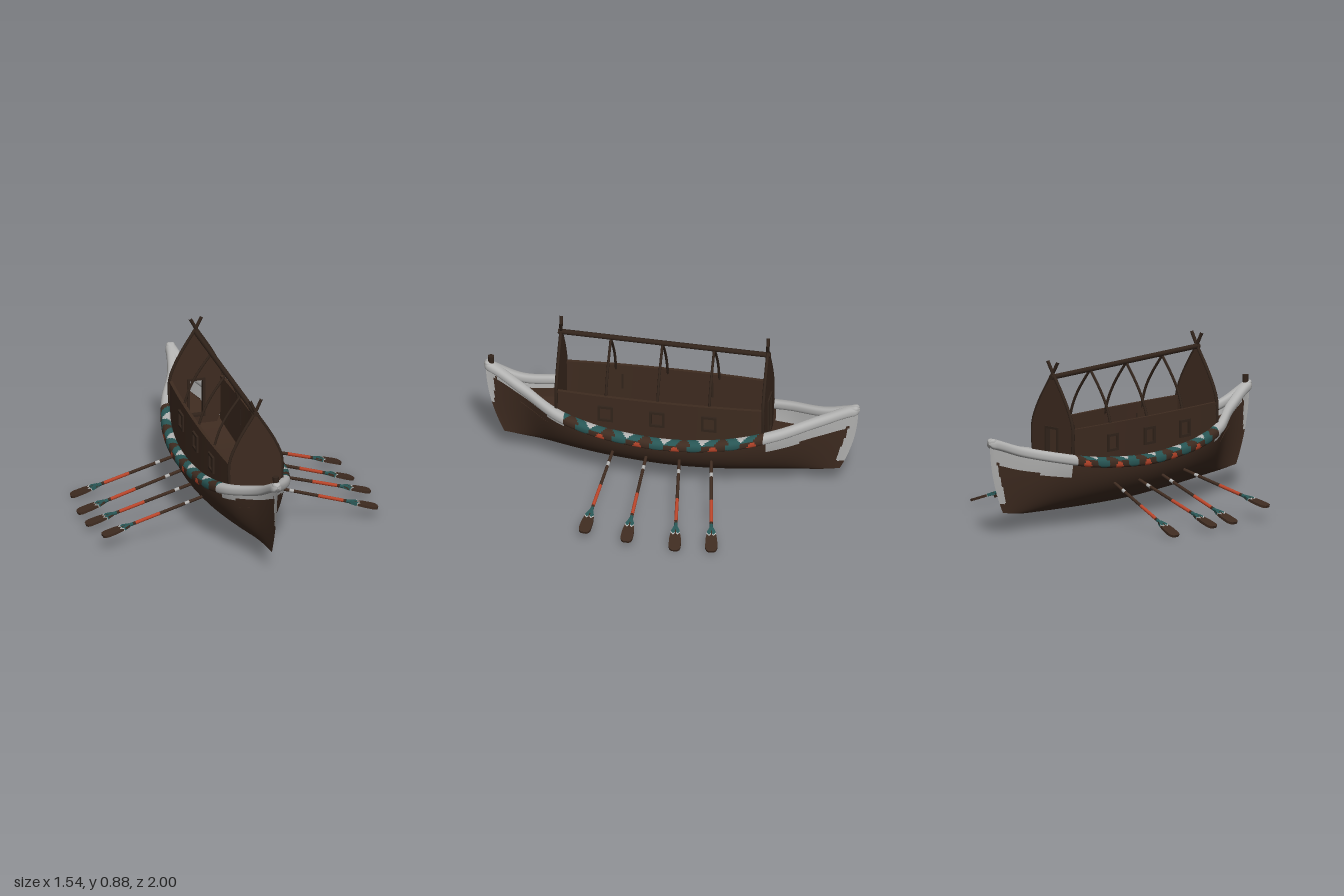
import * as THREE from 'three';

const mat = (name, color, side = THREE.FrontSide) => new THREE.MeshStandardMaterial({ name, color, side });
const wood = mat('brown wood', 0x3e2b20, THREE.DoubleSide);
const dark = mat('dark wood', 0x32241b);
const white = mat('white paint', 0xb2b2b1, THREE.DoubleSide);
const teal = mat('teal paint', 0x285655);
const orange = mat('orange paint', 0xb9452a);

// Smooth lookup in a table with stations every 0.2 from z = -1 to 1
function smooth(table) {
  return z => {
    const f = Math.min(Math.max((z + 1) / 0.2, 0), 9.9999), i = Math.floor(f), t = f - i;
    const at = k => table[Math.min(Math.max(k, 0), 10)];
    const [a, b, c, d] = [at(i - 1), at(i), at(i + 1), at(i + 2)];
    return b + 0.5 * t * (c - a + t * (2 * a - 5 * b + 4 * c - d + t * (3 * (b - c) + d - a)));
  };
}
const sheer = smooth([0.505, 0.44, 0.39, 0.35, 0.33, 0.322, 0.333, 0.355, 0.395, 0.46, 0.557]);
const keel = smooth([0.12, 0.1, 0.092, 0.087, 0.085, 0.086, 0.095, 0.105, 0.115, 0.125, 0.14]);
const beam = smooth([0.025, 0.07, 0.162, 0.222, 0.255, 0.265, 0.26, 0.237, 0.182, 0.07, 0.025]);
const railLine = z => Math.max(beam(z) - 0.026, 0.001);

// Surface swept from cross-sections; pick() chooses the material of each cell
function loft(name, nu, nv, point, mats, pick = () => 0, closed = false) {
  const pos = [], cells = mats.map(() => []), cols = closed ? nv : nv + 1;
  for (let i = 0; i <= nu; i++) for (let j = 0; j < cols; j++) pos.push(...point(i / nu, j / nv));
  for (let i = 0; i < nu; i++) for (let j = 0; j < nv; j++) {
    const k = (j + 1) % cols, a = i * cols + j, b = i * cols + k, c = a + cols, d = b + cols;
    const u = (i + 0.5) / nu, v = (j + 0.5) / nv;
    cells[pick(u, v, point(u, v))].push(a, b, c, b, d, c);
  }
  const g = new THREE.BufferGeometry();
  g.setAttribute('position', new THREE.Float32BufferAttribute(pos, 3));
  g.setIndex(cells.flat());
  let start = 0;
  cells.forEach((c, m) => { g.addGroup(start, c.length, m); start += c.length; });
  g.computeVertexNormals();
  const mesh = new THREE.Mesh(g, mats);
  mesh.name = name;
  return mesh;
}

function add(parent, name, geometry, material, x = 0, y = 0, z = 0) {
  const m = new THREE.Mesh(geometry, material);
  m.name = name;
  m.position.set(x, y, z);
  parent.add(m);
  return m;
}
const tube = (pts, r) => new THREE.TubeGeometry(
  new THREE.CatmullRomCurve3(pts.map(p => new THREE.Vector3(...p))), 14, r, 8);
const outline = pts => new THREE.Shape(pts.map(p => new THREE.Vector2(...p)));
const extrude = (shape, depth) => new THREE.ExtrudeGeometry(shape, { depth, bevelEnabled: false }).translate(0, 0, -depth / 2);
const rect = (w, h, y = 0) => [[-w / 2, y - h / 2], [w / 2, y - h / 2], [w / 2, y + h / 2], [-w / 2, y + h / 2]];
const frame = (w, h, border, depth) => {
  const s = outline(rect(w, h));
  s.holes.push(outline(rect(w - border * 2, h - border * 2)));
  return extrude(s, depth);
};

// Hull: round amidships, V-shaped and raked towards the ends
function hull() {
  const point = (u, v) => {
    const s = u * 2 - 1, side = v * 2 - 1, q = Math.abs(side) * Math.PI / 2;
    const t = 1 - Math.cos(q), end = s ** 4;
    const x = railLine(s) * (Math.sin(q) * (1 - end) + Math.pow(t, 0.8) * end);
    const y = keel(s) + (sheer(s) - keel(s)) * t;
    return [Math.sign(side) * x, y, s * 0.99 * (1 - 0.1 * (1 - t) ** 2 * end)];
  };
  const pick = (u, v, [, y, z]) => {
    const bow = z > 0.54 && (y > sheer(z) - 0.055 || (z > 0.943 && y > 0.31));
    const stern = z < -0.52 && (y > sheer(z) - 0.1 || (y > 0.17 && z < -0.87 - (y - 0.17) * 0.33));
    return bow || stern ? 1 : 0;
  };
  return loft('hull', 200, 72, point, [wood, white], pick);
}

// Gunwale: rounded rail, white at the ends with a repeating painted border between
function gunwale(sx) {
  const point = (u, v) => {
    const z = u * 2 - 1, a = sx * v * Math.PI * 2;
    const r = Math.sqrt(Math.max(0, 1 - Math.max(0, (Math.abs(z) - 0.97) / 0.03) ** 2));
    const soft = n => Math.sign(n) * Math.abs(n) ** 0.8;
    const c = Math.cos(a), s = Math.sin(a);
    return [sx * (railLine(z) + 0.027 * r * soft(c)), sheer(z) + 0.027 * r * soft(s) - 0.006 * c, z];
  };
  const pick = (u, v) => {
    const z = u * 2 - 1;
    if (z > 0.54 || z < -0.52) return 1;
    const p = (((z - 0.34) / 0.2) % 1 + 1) % 1;
    const deg = ((sx * v * 360 + 450 + 360) % 360) - 90;
    if (deg > 175) return 0;
    // Outer face: orange and teal discs on brown
    if (deg < 35) {
      if (z < 0.47 && (Math.min(p, 1 - p) / 0.115) ** 2 + ((deg + 20) / 45) ** 2 < 1) return 3;
      return ((p - 0.5) / 0.19) ** 2 + ((deg - 10) / 55) ** 2 < 1 ? 2 : 0;
    }
    // Top face: white and brown triangles on teal
    const h = (deg - 35) / 130;
    if (Math.abs(p - 0.27) < 0.25 * h) return 1;
    if (Math.abs(p - 0.77) < 0.2 * (1 - h)) return 0;
    return 2;
  };
  return loft(sx > 0 ? 'leftGunwale' : 'rightGunwale', 240, 32, point, [wood, white, teal, orange], pick, true);
}

// Cabin: bowed side walls, pointed end panels, open rafters and a ridge pole
const Z0 = -0.51, Z1 = 0.59, MID = 0.04;
const wallX = z => 0.158 - 0.02 * ((z - MID) / 0.55) ** 2;
function bowed(w, sx, top, bottom) {
  const g = new THREE.BoxGeometry(w, 1, Z1 - Z0, 1, 1, 20).translate(0, 0, MID), p = g.attributes.position;
  for (let i = 0; i < p.count; i++) {
    const z = p.getZ(i);
    p.setXY(i, p.getX(i) + sx * wallX(z), p.getY(i) > 0 ? top : bottom(z));
  }
  g.computeVertexNormals();
  return g;
}
function cabin() {
  const g = new THREE.Group();
  g.name = 'cabin';
  const half = [[0.14, 0.37], [0.143, 0.535], [0.117, 0.613], [0.077, 0.69], [0.04, 0.75], [0.008, 0.8]];
  const side = [[0.11, 0.26], [0.13, 0.31], ...half];
  const panel = outline([...side, ...side.map(([x, y]) => [-x, y]).reverse()]);
  add(g, 'frontPanel', extrude(panel, 0.014), wood, 0, 0, Z1);
  const back = panel.clone();
  back.holes.push(outline(rect(0.075, 0.2, 0.42)));
  add(g, 'backPanel', extrude(back, 0.014), wood, 0, 0, Z0);
  add(g, 'doorFrame', frame(0.095, 0.22, 0.012, 0.03), dark, 0, 0.42, Z0);

  for (const sx of [1, -1]) {
    add(g, 'sideWall', bowed(0.012, sx, 0.525, z => sheer(z) - 0.09), wood);
    add(g, 'wallRail', bowed(0.018, sx, 0.53, () => 0.516), wood);
    for (const z of [0.325, 0.05, -0.225]) {
      const w = add(g, 'windowFrame', frame(0.082, 0.092, 0.013, 0.022), dark, sx * (wallX(z) + 0.006), 0.428, z);
      w.rotation.y = Math.PI / 2;
      add(g, 'rafter', tube([[sx * wallX(z), 0.5, z], [sx * 0.117, 0.613, z], [sx * 0.075, 0.69, z], [0, 0.795, z]], 0.007), dark);
    }
    for (const [z, top] of [[Z0, 0.875], [Z1, 0.884]]) {
      const edge = half.map(([x, y]) => [sx * x, y, z]);
      add(g, 'endPole', tube([...edge, [-sx * 0.033, top, z + sx * 0.004]], 0.009), dark);
    }
  }
  const ridge = add(g, 'ridgePole', new THREE.CylinderGeometry(0.014, 0.014, 1.13, 10), dark, 0, 0.8, MID);
  ridge.rotation.x = Math.PI / 2 - 0.014;
  return g;
}

// Oar: built along local +x with its blade flat, then yawed and pitched towards its tip
function oar(from, to) {
  const g = new THREE.Group(), a = new THREE.Vector3(...from), d = new THREE.Vector3(...to).sub(a), L = d.length();
  g.name = 'oar';
  const rod = (name, x0, x1, r, m) => add(g, name, new THREE.CylinderGeometry(r, r, x1 - x0, 10).rotateZ(-Math.PI / 2), m, (x0 + x1) / 2);
  rod('shaft', 0, L - 0.1, 0.0085, wood);
  rod('whiteBand', 0.075, 0.1, 0.0092, white);
  rod('orangeBand', L - 0.33, L - 0.19, 0.0092, orange);
  rod('tealBand', L - 0.175, L - 0.13, 0.0092, teal);
  const flat = (name, pts, t, m) => add(g, name, extrude(outline(pts), t).rotateX(-Math.PI / 2), m);
  const edge = [[L - 0.155, 0.009], [L - 0.125, 0.022], [L - 0.075, 0.031], [L - 0.025, 0.032], [L - 0.008, 0.026], [L, 0.014]];
  flat('blade', [...edge.map(([x, y]) => [x, -y]), ...edge.reverse()], 0.013, wood);
  const zig = x => [-0.024, -0.012, 0, 0.012, 0.024].map((y, i) => [x + (i % 2 ? 0.013 : 0), y]);
  flat('bladePaint', [[L - 0.155, 0.009], [L - 0.155, -0.009], [L - 0.125, -0.022], ...zig(L - 0.118), [L - 0.125, 0.022]], 0.016, teal);
  flat('bladeZigzag', [...zig(L - 0.118), ...zig(L - 0.11).reverse()], 0.016, white);
  g.position.copy(a);
  g.rotation.set(0, Math.atan2(-d.z, d.x), Math.asin(d.y / L), 'YZX');
  return g;
}

export function createModel() {
  const boat = new THREE.Group();
  boat.name = 'boat';
  boat.add(hull(), gunwale(1), gunwale(-1), cabin());

  // Deck inside the hull, rising with the rail
  boat.add(loft('deck', 40, 4, (u, v) => {
    const z = (u * 2 - 1) * 0.8;
    return [(1 - v * 2) * railLine(z) * (0.9 - 0.16 * z ** 4), sheer(z) - 0.1, z];
  }, [wood]));

  // Short post on the bow
  add(boat, 'bowPost', new THREE.CylinderGeometry(0.017, 0.015, 0.06, 12), dark, 0, 0.576, 0.962);

  // Four oars on each side: inner z, then tip x, y, z
  const oars = [
    [0.28, 0.74, 0.062, 0.337], [0.1, 0.768, 0.05, 0.108], [-0.075, 0.75, 0.014, -0.148], [-0.245, 0.738, 0.022, -0.342],
    [0.28, -0.757, 0.086, 0.326], [0.105, -0.77, 0.036, 0.06], [-0.075, -0.77, 0.036, -0.095], [-0.25, -0.732, 0.017, -0.348],
  ];
  for (const [z, x, y, tz] of oars) boat.add(oar([Math.sign(x) * 0.2, 0.218, z], [x, y, tz]));
  return boat;
}
